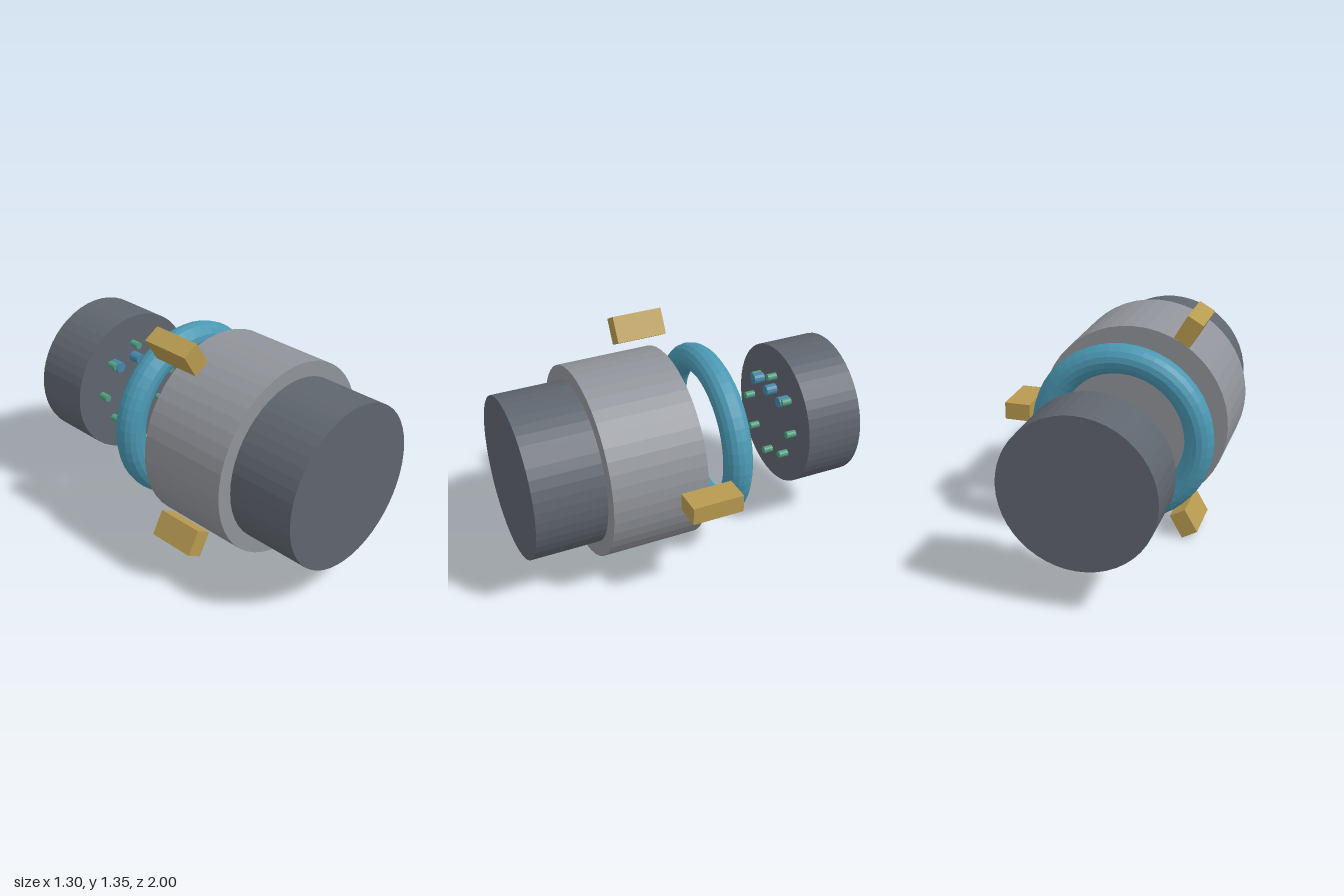
import * as THREE from 'three';

const AXIS = { x: -0.1, y: 0.677 };

function material(color) {
  return new THREE.MeshStandardMaterial({ color, flatShading: true });
}

const DARK = material(0x5f656e);
const STEEL = material(0x909399);
const TEAL = material(0x4a97b2);
const BRASS = material(0xb89a50);
const GREEN = material(0x4f9e80);
const BLUE = material(0x4585a8);

// Cylinder along z from z0 to z1, offset from the connector's axis
function rod(name, radius, z0, z1, mat, sides = 48, x = 0, y = 0) {
  const geometry = new THREE.CylinderGeometry(radius, radius, z1 - z0, sides);
  geometry.rotateX(Math.PI / 2);
  const mesh = new THREE.Mesh(geometry, mat);
  mesh.name = name;
  mesh.position.set(x, y, (z0 + z1) / 2);
  return mesh;
}

export function createModel() {
  const model = new THREE.Group();
  model.name = 'explodedConnector';
  const body = new THREE.Group();
  body.name = 'connectorAxis';
  body.position.set(AXIS.x, AXIS.y, 0);
  model.add(body);

  // Front housing and wider coupling collar
  body.add(rod('frontHousing', 0.467, 0.595, 1, DARK));
  body.add(rod('collar', 0.553, 0.045, 0.597, STEEL));

  // Sealing ring
  const seal = new THREE.Mesh(new THREE.TorusGeometry(0.442, 0.083, 16, 48), TEAL);
  seal.name = 'sealRing';
  seal.position.z = -0.19;
  body.add(seal);

  // Three locking tabs spaced round the collar
  for (let i = 0; i < 3; i++) {
    const angle = (i * Math.PI * 2) / 3;
    const tab = new THREE.Mesh(new THREE.BoxGeometry(0.152, 0.102, 0.295), BRASS);
    tab.name = 'lockingTab';
    tab.position.set(Math.cos(angle) * 0.674, Math.sin(angle) * 0.674, 0.082);
    tab.rotation.z = angle;
    body.add(tab);
  }

  // Rear plug
  body.add(rod('rearPlug', 0.425, -1, -0.66, DARK));

  // Circle of eight signal pins
  for (let i = 0; i < 8; i++) {
    const angle = (i * Math.PI) / 4;
    body.add(rod('signalPin', 0.021, -0.67, -0.602, GREEN, 12,
      Math.cos(angle) * 0.255, Math.sin(angle) * 0.255));
  }

  // Row of three thicker power pins
  for (const x of [-0.153, 0, 0.153]) {
    body.add(rod('powerPin', 0.032, -0.67, -0.593, BLUE, 12, x, 0.17));
  }

  return model;
}
